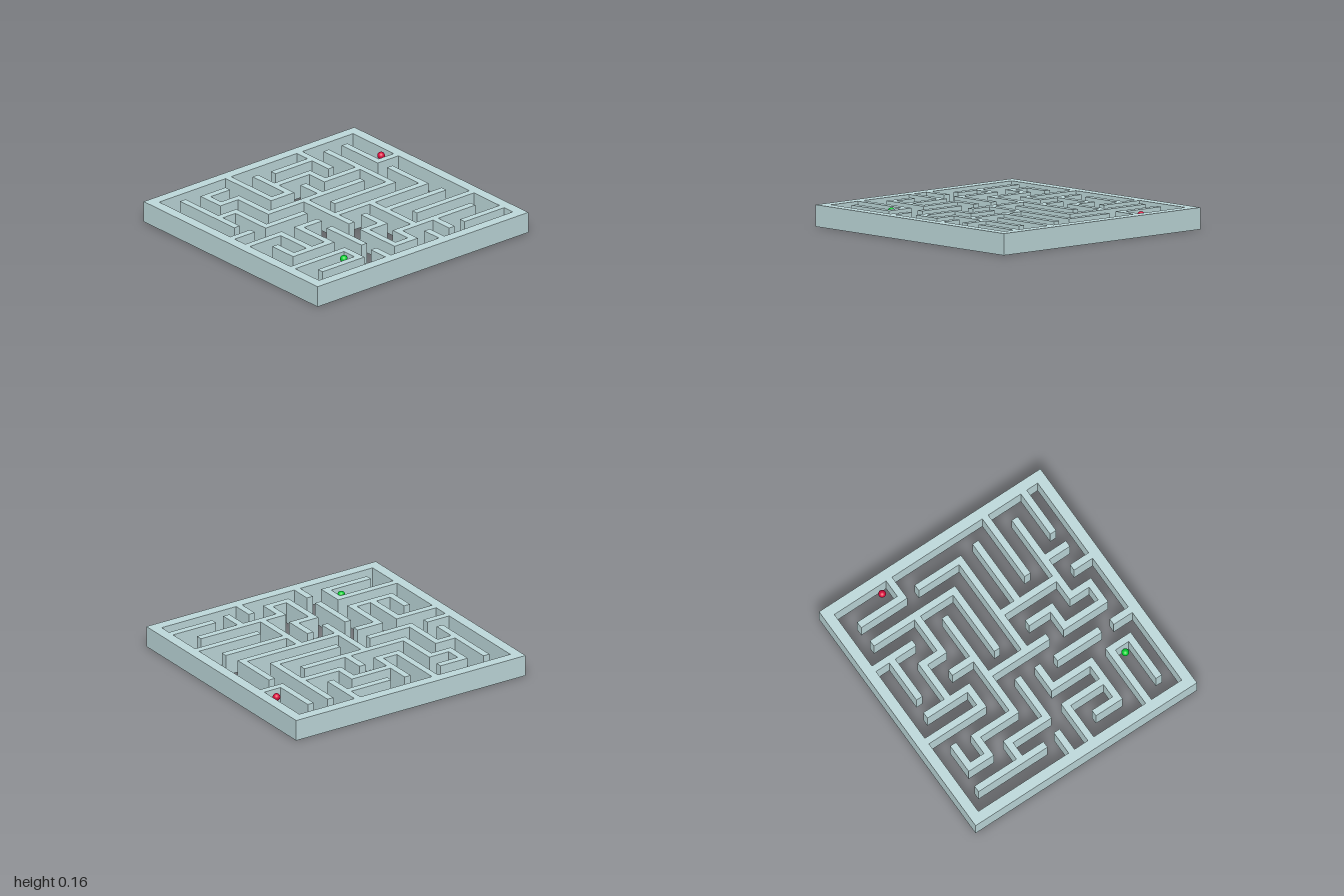
import * as THREE from 'three';

const H = 0.16;      // wall height
const T = 0.026;     // half wall thickness
const STEP = 0.169;  // maze cell size
const IN_X = 0.92, IN_Z = 0.893; // inner faces of the frame
const col = (i) => -0.77 + (i - 1) * STEP;
const row = (j) => -0.75 + (j - 1) * STEP;
const over = (j) => row(j) - T;   // back face of a row wall
const under = (j) => row(j) + T;  // front face of a row wall
const leftOf = (i) => col(i) - T;
const rightOf = (i) => col(i) + T;

// walls running along x: [row, x start, x end]
const rowWalls = [
  [1, leftOf(2), -0.39], [1, 0.04, leftOf(8)],
  [2, leftOf(2), rightOf(3)], [2, rightOf(5), rightOf(7)],
  [3, rightOf(1), rightOf(2)], [3, leftOf(4), rightOf(5)],
  [3, leftOf(7), leftOf(9)], [3, leftOf(10), IN_X],
  [4, leftOf(3), 0.455],
  [5, -IN_X, -0.73], [5, leftOf(2), -0.23], [5, 0.03, rightOf(9)],
  [6, -IN_X, rightOf(2)], [6, leftOf(3), -0.235], [6, rightOf(5), rightOf(10)],
  [7, rightOf(7), 0.8],
  [8, leftOf(1), rightOf(3)], [8, leftOf(5), rightOf(6)], [8, 0.38, IN_X],
  [9, -IN_X, rightOf(3)], [9, leftOf(6), 0.79],
  [10, -0.805, rightOf(3)], [10, leftOf(5), rightOf(6)], [10, 0.545, IN_X],
];

// walls running along z: [column, z start, z end]
const columnWalls = [
  [1, -0.806, -0.2], [1, 0.225, over(8)],
  [2, under(1), over(2)], [2, under(3), over(5)], [2, under(6), over(8)],
  [3, under(2), over(4)], [3, under(6), over(8)], [3, under(9), over(10)],
  [4, -IN_Z, over(3)], [4, 0.235, 0.625], [4, 0.73, IN_Z],
  [5, -0.79, over(3)], [5, under(4), 0.285], [5, under(8), over(10)],
  [6, -0.455, over(4)], [6, 0.22, over(8)], [6, under(9), over(10)],
  [7, under(2), over(3)], [7, under(6), over(9)], [7, 0.73, IN_Z],
  [8, -IN_Z, -0.54], [8, under(9), 0.81],
  [9, -0.795, over(5)],
  [10, -0.79, over(3)], [10, -0.285, over(6)],
];

function rectangle(target, x, z) {
  target.moveTo(-x, -z).lineTo(x, -z).lineTo(x, z).lineTo(-x, z).closePath();
  return target;
}

export function createModel() {
  const model = new THREE.Group();
  model.name = 'maze';
  const wallMaterial = new THREE.MeshStandardMaterial({ color: 0xbfdadc });

  // open frame without a floor
  const outline = rectangle(new THREE.Shape(), 1, 0.972);
  outline.holes.push(rectangle(new THREE.Path(), IN_X, IN_Z));
  const frameGeometry = new THREE.ExtrudeGeometry(outline, { depth: H, bevelEnabled: false });
  frameGeometry.rotateX(-Math.PI / 2);
  const frame = new THREE.Mesh(frameGeometry, wallMaterial);
  frame.name = 'outerFrame';
  model.add(frame);

  // inner walls, butted against each other
  const walls = new THREE.Group();
  walls.name = 'innerWalls';
  model.add(walls);
  const addWall = (name, x0, x1, z0, z1) => {
    const wall = new THREE.Mesh(new THREE.BoxGeometry(x1 - x0, H, z1 - z0), wallMaterial);
    wall.position.set((x0 + x1) / 2, H / 2, (z0 + z1) / 2);
    wall.name = name;
    walls.add(wall);
  };
  for (const [j, x0, x1] of rowWalls) addWall('rowWall', x0, x1, over(j), under(j));
  for (const [i, z0, z1] of columnWalls) addWall('columnWall', leftOf(i), rightOf(i), z0, z1);

  // start and goal balls
  const addBall = (name, color, x, z) => {
    const ball = new THREE.Mesh(
      new THREE.SphereGeometry(0.028, 32, 16),
      new THREE.MeshStandardMaterial({ color })
    );
    ball.position.set(x, 0.135, z);
    ball.name = name;
    model.add(ball);
  };
  addBall('greenBall', 0x00d030, -0.505, 0.683);
  addBall('redBall', 0xd8083c, 0.863, -0.512);

  return model;
}
